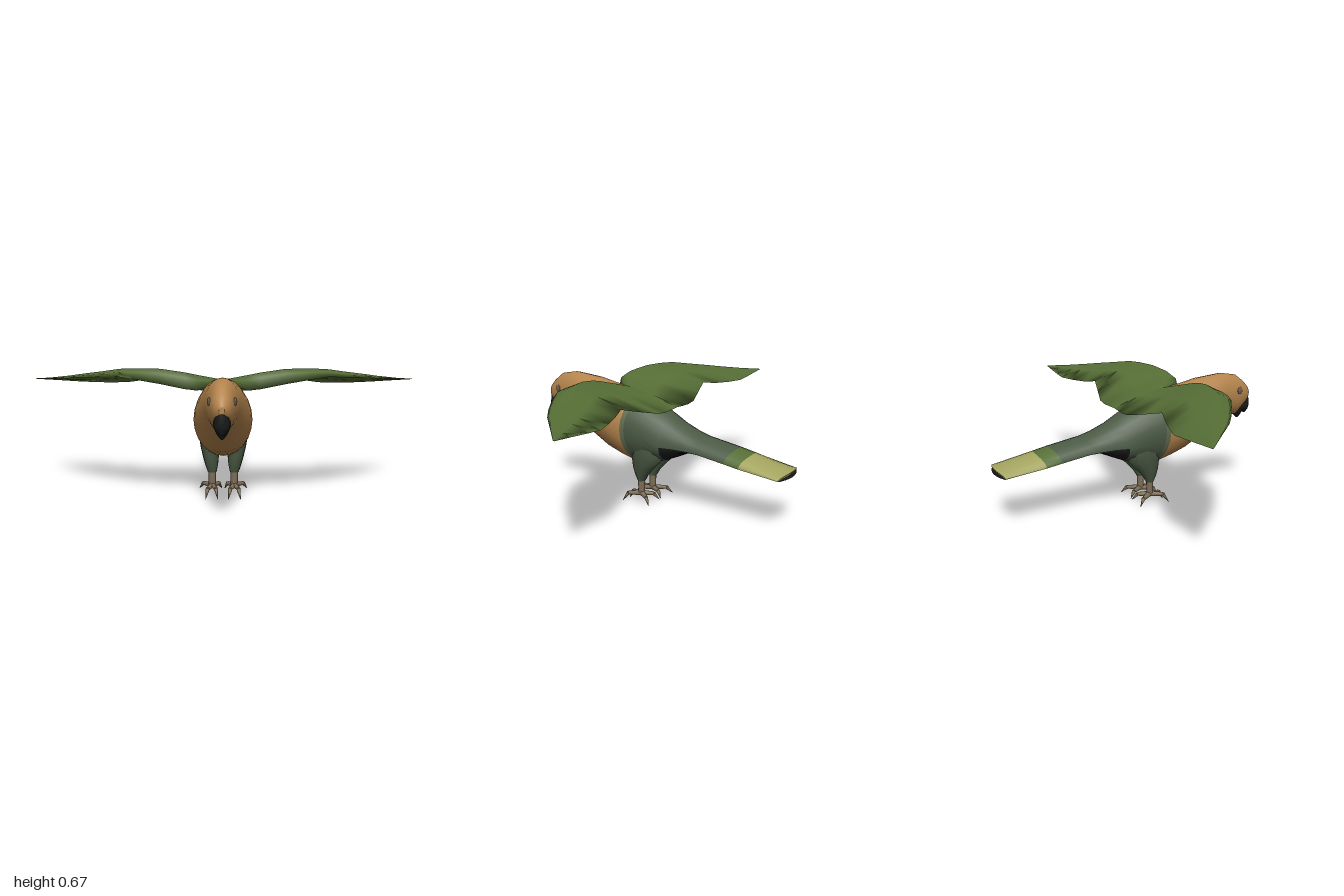
import * as THREE from 'three';

const paint = (name, color) => {
  const m = new THREE.MeshStandardMaterial({ color });
  m.name = name;
  return m;
};
const mats = {
  orange: paint('tawny orange', 0xb5854d),
  band: paint('grey olive', 0x646a4e),
  slate: paint('slate green', 0x4b5a45),
  green: paint('wing green', 0x566e36),
  straw: paint('straw yellow', 0xa3a35f),
  black: paint('black', 0x19191b),
  leg: paint('leg brown', 0x7f6f57),
  eye: paint('eye grey', 0x6f6350),
};

// Skin a row of closed rings; pick(i, j) gives the material slot of a quad.
function loft(name, rings, materials, pick = () => 0) {
  const n = rings[0].length;
  const pos = rings.flat(2);
  const lists = materials.map(() => []);
  rings.slice(1).forEach((_, i) => {
    for (let j = 0; j < n; j++) {
      const k = (j + 1) % n;
      const a = i * n + j, b = i * n + k, d = a + n, c = b + n;
      lists[pick(i, j)].push(a, d, b, d, c, b);
    }
  });
  // Flat end caps with their own vertices
  [0, rings.length - 1].forEach((r) => {
    const base = pos.length / 3, ring = rings[r];
    pos.push(...[0, 1, 2].map((k) => ring.reduce((s, p) => s + p[k], 0) / n), ...ring.flat());
    for (let j = 0; j < n; j++) {
      const p = base + 1 + j, q = base + 1 + ((j + 1) % n);
      const slot = pick(Math.min(r, rings.length - 2), j);
      lists[slot].push(base, ...(r === 0 ? [p, q] : [q, p]));
    }
  });
  const geo = new THREE.BufferGeometry();
  geo.setAttribute('position', new THREE.Float32BufferAttribute(pos, 3));
  geo.setIndex(lists.flat());
  let start = 0;
  lists.forEach((l, m) => {
    geo.addGroup(start, l.length, m);
    start += l.length;
  });
  geo.computeVertexNormals();
  const mesh = new THREE.Mesh(geo, materials.length > 1 ? materials : materials[0]);
  mesh.name = name;
  return mesh;
}

// Rings stacked downwards: [y, zFront, zBack, halfWidth, xCentre]
const stack = (name, rows, material, n = 12) => loft(name, rows.map(([y, zf, zb, hw, cx = 0]) =>
  Array.from({ length: n }, (_, j) => {
    const a = (j / n) * Math.PI * 2;
    return [cx + hw * Math.cos(a), y, (zf + zb) / 2 - ((zf - zb) / 2) * Math.sin(a)];
  })), [material]);

// Tapered rod between two points
function rod(name, a, b, r0, r1, material) {
  const p = new THREE.Vector3(...a), q = new THREE.Vector3(...b);
  const dir = q.clone().sub(p);
  const mesh = new THREE.Mesh(new THREE.CylinderGeometry(r1, r0, dir.length(), 8), material);
  mesh.position.copy(p).add(q).multiplyScalar(0.5);
  mesh.quaternion.setFromUnitVectors(new THREE.Vector3(0, 1, 0), dir.normalize());
  mesh.name = name;
  return mesh;
}

function makeBody() {
  // z, top, widest level, bottom, half width, backward bend of the ring
  const rows = [
    [0.728, 0.555, 0.54, 0.525, 0.012, 0],
    [0.715, 0.578, 0.54, 0.5, 0.03, 0],
    [0.69, 0.606, 0.54, 0.47, 0.046, 0],
    [0.64, 0.645, 0.54, 0.425, 0.06, 0],
    [0.55, 0.661, 0.54, 0.424, 0.08, 0],
    [0.5, 0.656, 0.53, 0.405, 0.09, 0],
    [0.4, 0.645, 0.49, 0.325, 0.115, 0],
    [0.3, 0.622, 0.45, 0.27, 0.135, 0],
    [0.23, 0.605, 0.42, 0.24, 0.145, 0.02],
    [0.175, 0.585, 0.41, 0.215, 0.145, 0.05],
    [0.15, 0.575, 0.41, 0.213, 0.144, 0.045],
    [0.06, 0.55, 0.39, 0.215, 0.14, 0.02],
    [-0.05, 0.502, 0.34, 0.25, 0.125, 0],
    [-0.12, 0.457, 0.34, 0.28, 0.115, 0],
    [-0.2, 0.42, 0.335, 0.318, 0.105, 0],
    [-0.26, 0.4, 0.328, 0.322, 0.103, 0],
    [-0.41, 0.366, 0.304, 0.3, 0.106, 0.03],
    [-0.49, 0.347, 0.291, 0.287, 0.109, 0.03],
    [-0.7, 0.292, 0.267, 0.264, 0.12, 0.028],
  ];
  const n = 24;
  const rings = rows.map(([z, top, mid, bot, hw, bend]) => Array.from({ length: n }, (_, j) => {
    const a = (j / n) * Math.PI * 2, s = Math.sin(a);
    return [hw * Math.cos(a), mid + s * (s > 0 ? top - mid : mid - bot), z - bend * s * s];
  }));
  // Orange front, narrow band, slate rump, green and straw tail bands, black underside
  return loft('bodyAndTail', rings,
    [mats.orange, mats.band, mats.slate, mats.green, mats.straw, mats.black], (i, j) => {
      if (i < 9) return 0;
      if (i === 9) return 1;
      if (i >= 12 && j >= n / 2) return 5;
      return i < 16 ? 2 : i === 16 ? 3 : 4;
    });
}

function makeWing(side) {
  // x, leading z y, ridge z y, trailing z y, thickness
  const rows = [
    [0, 0.23, 0.6, 0.19, 0.612, -0.085, 0.53, 0.02],
    [0.06, 0.3, 0.59, 0.25, 0.63, -0.086, 0.527, 0.03],
    [0.12, 0.35, 0.578, 0.31, 0.648, -0.086, 0.525, 0.035],
    [0.18, 0.35, 0.585, 0.31, 0.66, -0.085, 0.532, 0.035],
    [0.3, 0.337, 0.608, 0.285, 0.675, -0.05, 0.56, 0.028],
    [0.41, 0.32, 0.625, 0.26, 0.675, -0.02, 0.588, 0.02],
    [0.5, 0.3, 0.637, 0.235, 0.67, -0.05, 0.573, 0.016],
    [0.6, 0.24, 0.63, 0.18, 0.652, -0.083, 0.567, 0.013],
    [0.7, 0.175, 0.62, 0.12, 0.635, -0.113, 0.566, 0.01],
    [0.78, 0.115, 0.61, 0.07, 0.62, -0.111, 0.57, 0.008],
    [0.9, 0, 0.597, -0.02, 0.6, -0.106, 0.578, 0.006],
    [1, -0.095, 0.586, -0.097, 0.587, -0.102, 0.584, 0.002],
  ];
  const rings = rows.map(([x, zl, yl, zr, yr, zt, yt, t]) => {
    const zm = (zr + zt) / 2, ym = (yr + yt) / 2 + t * 0.3;
    const ring = [
      [zl, yl], [zl + (zr - zl) * 0.3, yl + (yr - yl) * 0.7], [zr, yr], [zm, ym],
      [zt, yt], [zm, ym - t], [zr, yr - t * 1.2],
    ].map(([z, y]) => [side * x, y, z]);
    return side > 0 ? ring : ring.reverse();
  });
  return loft(side > 0 ? 'leftWing' : 'rightWing', rings, [mats.green]);
}

function makeLeg(side) {
  const leg = new THREE.Group();
  leg.name = side > 0 ? 'leftLeg' : 'rightLeg';
  const x = side * 0.057;
  leg.add(stack('thigh', [
    [0.38, 0.13, -0.02, 0.055, side * 0.07],
    [0.3, 0.145, -0.045, 0.056, side * 0.07],
    [0.25, 0.143, -0.035, 0.05, side * 0.068],
    [0.2, 0.138, 0.015, 0.041, side * 0.064],
    [0.16, 0.128, 0.052, 0.033, side * 0.06],
    [0.125, 0.115, 0.073, 0.023, x],
  ], mats.slate));
  leg.add(rod('shank', [x, 0.14, 0.095], [x, 0.05, 0.095], 0.019, 0.018, mats.leg));
  // Two toes forward and two back, each with a claw
  [[-0.03, 0.095], [0.032, 0.1], [-0.05, -0.08], [0.068, -0.085]].forEach(([dx, dz]) => {
    const knuckle = [x + side * dx * 0.68, 0.05, 0.095 + dz * 0.68];
    leg.add(rod('toe', [x, 0.055, 0.095], knuckle, 0.015, 0.01, mats.leg));
    leg.add(rod('claw', knuckle, [x + side * dx, dz > 0 ? 0.003 : 0.016, 0.095 + dz], 0.011, 0.001, mats.leg));
  });
  return leg;
}

export function createModel() {
  const bird = new THREE.Group();
  bird.name = 'bird';
  bird.add(makeBody());
  // Hooked upper bill and smaller lower bill
  bird.add(stack('upperBill', [
    [0.53, 0.727, 0.68, 0.014], [0.51, 0.73, 0.64, 0.032], [0.47, 0.731, 0.635, 0.04],
    [0.45, 0.725, 0.66, 0.031], [0.428, 0.713, 0.7, 0.008],
  ], mats.black));
  bird.add(stack('lowerBill', [
    [0.475, 0.7, 0.63, 0.036], [0.445, 0.692, 0.632, 0.032],
    [0.42, 0.68, 0.64, 0.02], [0.403, 0.667, 0.657, 0.006],
  ], mats.black));
  [1, -1].forEach((side) => {
    const eye = new THREE.Mesh(new THREE.SphereGeometry(1, 12, 8), mats.eye);
    eye.name = side > 0 ? 'leftEye' : 'rightEye';
    eye.scale.set(0.007, 0.02, 0.02);
    eye.position.set(side * 0.057, 0.565, 0.64);
    eye.rotation.y = -side * 0.35;
    bird.add(eye, makeWing(side), makeLeg(side));
  });
  return bird;
}
